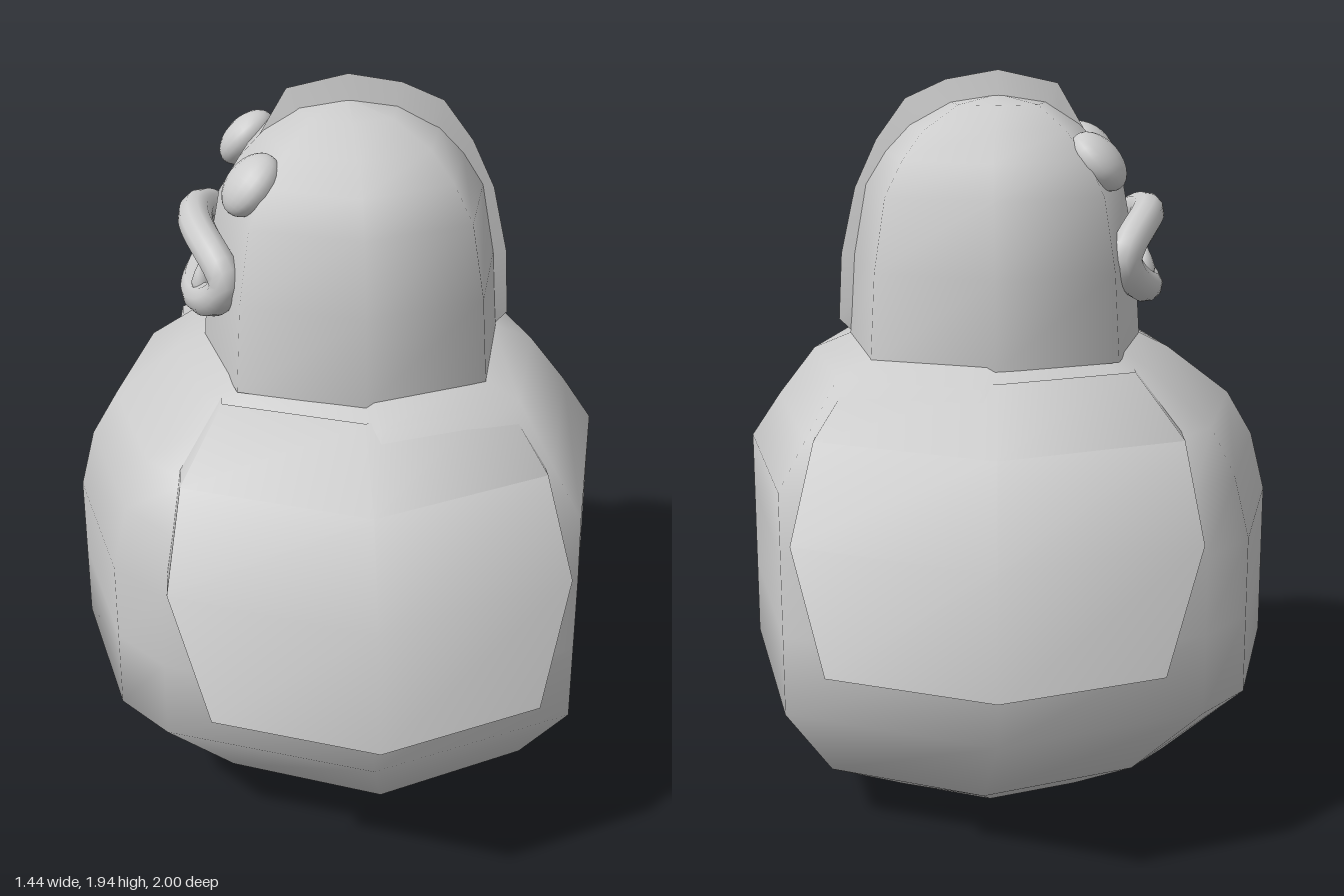
import * as THREE from 'three';
import { toCreasedNormals } from 'three/addons/utils/BufferGeometryUtils.js';

const material = new THREE.MeshStandardMaterial({ color: 0xcccccc, side: THREE.DoubleSide });

// Skin a surface over rows of points; rows run upward, points run from +x towards +z
function loft(rows, closed) {
  const n = rows[0].length, index = [];
  const last = closed ? n : n - 1;
  for (let i = 0; i < rows.length - 1; i++) {
    for (let j = 0; j < last; j++) {
      const k = (j + 1) % n;
      const a = i * n + j, b = i * n + k, c = a + n, d = b + n;
      index.push(a, c, b, b, c, d);
    }
  }
  const geo = new THREE.BufferGeometry();
  geo.setAttribute('position', new THREE.Float32BufferAttribute(rows.flat(2), 3));
  geo.setIndex(index);
  geo.computeVertexNormals();
  return geo;
}

// Full outline from its +z half (first and last points lie on z = 0)
function mirrorOutline(half) {
  return [...half, ...half.slice(1, -1).reverse().map(([x, z]) => [x, -z])];
}

// Rings described by [y, back x, front x, half width in z]
function ringLoft(outline, rings) {
  return loft(rings.map(([y, back, front, w]) =>
    outline.map(([u, v]) => [(back + front) / 2 + u * (back - front) / 2, y, v * w])), true);
}

function add(parent, name, geo) {
  const mesh = new THREE.Mesh(geo, material);
  mesh.name = name;
  parent.add(mesh);
  return mesh;
}

export function createModel() {
  const model = new THREE.Group();
  model.name = 'duckFigure';

  // Plump faceted body with a flat base
  const bodyOutline = mirrorOutline([[1, 0], [0.8, 0.75], [0.05, 1], [-0.68, 0.75], [-0.85, 0.57], [-1, 0]]);
  add(model, 'body', ringLoft(bodyOutline, [
    [0.01, 0.03, 0.03, 0],
    [0.01, 0.36, -0.28, 0.38],
    [0.15, 0.58, -0.49, 0.65],
    [0.36, 0.72, -0.72, 0.82],
    [0.57, 0.72, -0.72, 0.82],
    [0.78, 0.72, -0.72, 0.82],
    [0.94, 0.72, -0.68, 0.78],
    [1.06, 0.64, -0.61, 0.71],
    [1.19, 0.54, -0.44, 0.54],
    [1.235, 0.43, -0.35, 0.46],
  ]));

  // Domed head
  const headOutline = mirrorOutline([[1, 0], [0.8, 0.75], [0, 1], [-0.8, 0.75], [-1, 0]]);
  add(model, 'head', ringLoft(headOutline, [
    [1.22, 0.44, -0.36, 0.475],
    [1.45, 0.425, -0.345, 0.455],
    [1.64, 0.39, -0.31, 0.41],
    [1.73, 0.335, -0.255, 0.35],
    [1.80, 0.27, -0.19, 0.27],
    [1.86, 0.16, -0.10, 0.16],
    [1.88, 0.03, 0.03, 0],
  ]));

  // Thin crest running from the forehead over the top to the neck
  const crestLine = [[0.42, 1.22], [0.47, 1.27], [0.46, 1.45], [0.42, 1.63], [0.36, 1.76],
    [0.28, 1.87], [0.17, 1.92], [0.03, 1.945], [-0.13, 1.91], [-0.2, 1.79]];
  const crest = loft(crestLine.map(([x, y]) => {
    const inward = new THREE.Vector2(0.03 - x, 1.45 - y).setLength(0.12);
    const bx = x + inward.x, by = y + inward.y;
    return [[bx, by, -0.028], [x, y, 0], [bx, by, 0.028]];
  }), false);
  add(model, 'crest', toCreasedNormals(crest, 0.7));

  // Wings flaring out over the sides: y, then mid, side and body-side positions
  const wingRows = [ // y, mid z, front x, back x, side z, fold z
    [0.55, 1.0, -0.37, 0.45, 0.84, 0.83],
    [0.84, 0.92, -0.47, 0.54, 0.71, 0.58],
    [1.07, 0.77, -0.43, 0.49, 0.58, 0.45],
    [1.2, 0.52, -0.32, 0.4, 0.38, 0.3],
  ];
  for (const [s, name] of [[1, 'rightWing'], [-1, 'leftWing']]) {
    const rows = wingRows.map(([y, mid, front, back, side, fold]) => {
      const row = [[back, y, s * fold], [back, y, s * side], [0.035, y, s * mid],
        [front, y, s * side], [front, y, s * fold]];
      return s > 0 ? row : row.reverse();
    });
    add(model, name, toCreasedNormals(loft(rows, false), 0.9));
  }

  // Bulging eyes on the brow, tilted along the slope of the head
  for (const s of [1, -1]) {
    const eye = add(model, s > 0 ? 'rightEye' : 'leftEye', new THREE.SphereGeometry(1, 20, 14));
    eye.position.set(-0.23, 1.72, s * 0.2);
    eye.scale.set(0.055, 0.09, 0.083);
    eye.rotation.set(0, s * 0.35, -0.75, 'YXZ');
  }

  // Thick open lips wrapped around the face
  const lipPoints = [];
  for (let i = 0; i < 24; i++) {
    const a = i / 24 * Math.PI * 2;
    const z = 0.235 * Math.cos(a);
    const y = 1.47 + 0.1 * Math.sin(a);
    lipPoints.push(new THREE.Vector3(-0.36 + 1.1 * z * z - 0.015 * Math.abs(Math.sin(a)), y, z));
  }
  const lipCurve = new THREE.CatmullRomCurve3(lipPoints, true);
  add(model, 'lips', new THREE.TubeGeometry(lipCurve, 48, 0.046, 10, true));

  // Two rounded fangs standing on the lower lip
  const toothProfile = [[0, -0.045], [0.022, -0.035], [0.027, -0.01], [0.017, 0.02], [0, 0.055]]
    .map(([r, y]) => new THREE.Vector2(r, y));
  for (const s of [1, -1]) {
    const tooth = add(model, s > 0 ? 'rightTooth' : 'leftTooth', new THREE.LatheGeometry(toothProfile, 12));
    tooth.position.set(-0.363, 1.44, s * 0.12);
  }

  return model;
}
